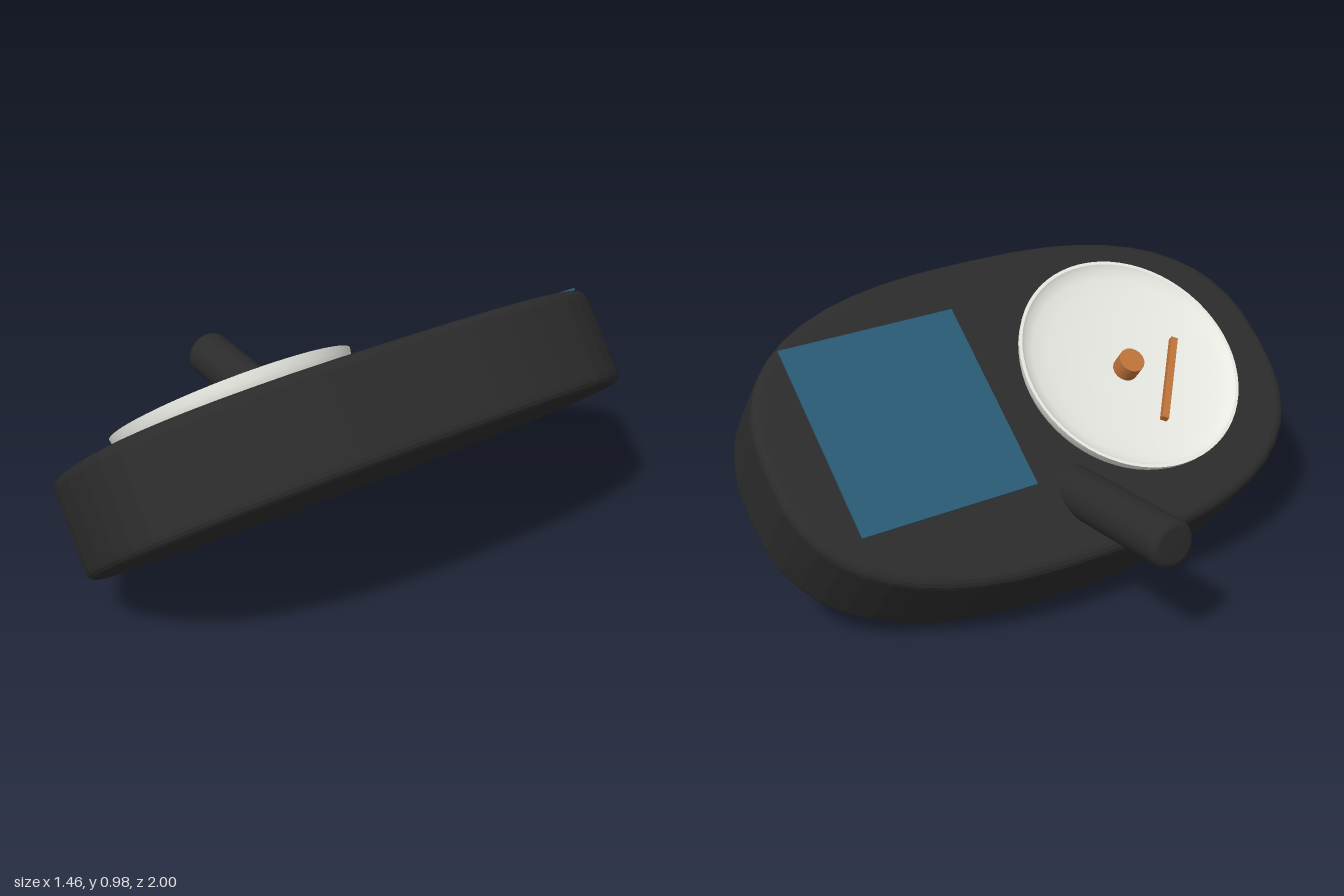
import * as THREE from 'three';

const paint = (name, color) => {
  const m = new THREE.MeshStandardMaterial({ color });
  m.name = name;
  return m;
};

function addMesh(parent, name, geometry, material, x = 0, y = 0, z = 0) {
  const mesh = new THREE.Mesh(geometry, material);
  mesh.name = name;
  mesh.position.set(x, y, z);
  parent.add(mesh);
  return mesh;
}

// Superellipse outline with half sizes a and b
function superellipse(a, b, power, count) {
  const bend = (t) => Math.sign(t) * Math.abs(t) ** (2 / power);
  const points = [];
  for (let i = 0; i < count; i++) {
    const t = (i / count) * Math.PI * 2;
    points.push(new THREE.Vector2(a * bend(Math.cos(t)), b * bend(Math.sin(t))));
  }
  return new THREE.Shape(points);
}

const lathe = (pairs, segments) =>
  new THREE.LatheGeometry(pairs.map(([r, y]) => new THREE.Vector2(r, y)), segments);

export function createModel() {
  const black = paint('charcoal', 0x2b2b2b);
  const white = paint('ivory', 0xe8e8e2);
  white.side = THREE.DoubleSide;
  const blue = paint('screenBlue', 0x2a5a75);
  const copper = paint('copper', 0xbf7338);

  const model = new THREE.Group();
  model.name = 'instrument';

  // Tilted head: local y points out of its face
  const head = new THREE.Group();
  head.name = 'head';
  head.position.set(0.172, 0.4925, 0);
  head.rotation.z = THREE.MathUtils.degToRad(38.5);
  model.add(head);

  // Housing
  const half = 0.172, bevel = 0.035;
  const housing = new THREE.ExtrudeGeometry(superellipse(0.595 - bevel, 1 - bevel, 2.6, 48), {
    depth: 2 * (half - bevel), bevelEnabled: true,
    bevelSize: bevel, bevelThickness: bevel, bevelSegments: 4,
  });
  housing.translate(0, 0, bevel - half);
  housing.rotateX(-Math.PI / 2);
  addMesh(head, 'housing', housing, black);

  // Screen plate
  addMesh(head, 'screen', new THREE.BoxGeometry(0.703, 0.008, 0.655), blue, 0.06, half + 0.002, -0.4725);

  // Dial: shallow bowl, with its knob and pointer
  const dial = new THREE.Group();
  dial.name = 'dial';
  dial.position.set(0.02, half, 0.38);
  head.add(dial);
  addMesh(dial, 'bowlWall', lathe([[0.385, -0.005], [0.4, 0.01], [0.411, 0.035], [0.417, 0.062]], 64), white);
  addMesh(dial, 'bowlRim', lathe([[0.417, 0.062], [0.405, 0.062]], 64), white);
  addMesh(dial, 'bowlInside',
    lathe([[0.405, 0.062], [0.39, 0.049], [0.36, 0.037], [0.3, 0.026], [0.2, 0.015], [0.1, 0.009], [0, 0.007]], 64), white);
  addMesh(dial, 'knob', new THREE.CylinderGeometry(0.047, 0.047, 0.065, 16), copper, 0, 0.04, 0);
  const pointer = addMesh(dial, 'pointer', new THREE.BoxGeometry(0.345, 0.025, 0.025), copper, -0.09, 0.034, 0.13);
  pointer.rotation.y = -THREE.MathUtils.degToRad(35);

  // Handle: round bar with a softened end, rooted inside the housing
  const radius = 0.083, length = 0.8, soft = 0.028;
  const profile = [[0, 0], [radius, 0]];
  for (let i = 0; i <= 5; i++) {
    const t = (i / 5) * Math.PI / 2;
    profile.push([radius - soft + soft * Math.cos(t), length - soft + soft * Math.sin(t)]);
  }
  profile.push([0, length]);
  const handle = addMesh(model, 'handle', lathe(profile, 32), black, 0.067, 0.366, 0);
  handle.rotation.z = THREE.MathUtils.degToRad(84.5);

  return model;
}
